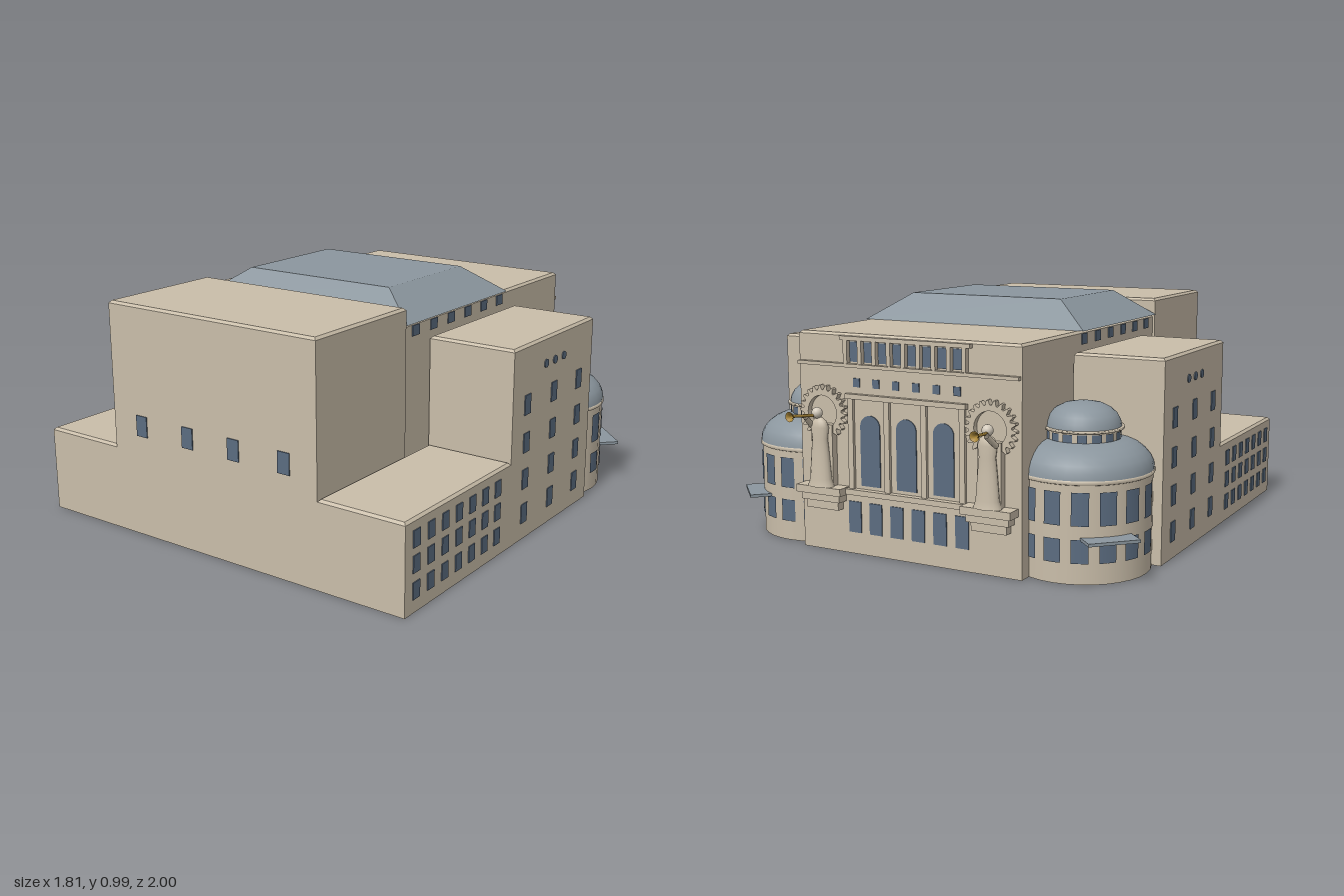
import * as THREE from 'three';

const mat = (name, color, side = THREE.FrontSide) => {
  const m = new THREE.MeshStandardMaterial({ color, side });
  m.name = name;
  return m;
};

export function createModel() {
  const root = new THREE.Group();
  root.name = 'concertHall';
  const wall = mat('limestone', 0xc9bda9, THREE.DoubleSide);
  const slate = mat('slateRoof', 0x8b969e, THREE.DoubleSide);
  const glass = mat('windowGlass', 0x5b6c80);
  const pale = mat('paleStone', 0xd3cabb);
  const gold = mat('brass', 0xa98638, THREE.DoubleSide);

  const add = (name, geo, m, x = 0, y = 0, z = 0, parent = root) => {
    const mesh = new THREE.Mesh(geo, m);
    mesh.name = name;
    mesh.position.set(x, y, z);
    parent.add(mesh);
    return mesh;
  };
  const box = (name, w, h, d, m, x, y, z, parent) =>
    add(name, new THREE.BoxGeometry(w, h, d), m, x, y, z, parent);

  // Open-bottomed shell through rectangles [x0, x1, z0, z1, y], closed on top
  const shell = (sections) => {
    const pos = [];
    const ring = ([x0, x1, z0, z1, y]) => [[x0, y, z0], [x0, y, z1], [x1, y, z1], [x1, y, z0]];
    const quad = (a, b, c, d) => pos.push(...a, ...b, ...c, ...a, ...c, ...d);
    const rings = sections.map(ring);
    for (let i = 0; i + 1 < rings.length; i++) {
      for (let j = 0; j < 4; j++) {
        const k = (j + 1) % 4;
        quad(rings[i][j], rings[i][k], rings[i + 1][k], rings[i + 1][j]);
      }
    }
    quad(...rings[rings.length - 1]);
    const g = new THREE.BufferGeometry();
    g.setAttribute('position', new THREE.Float32BufferAttribute(pos, 3));
    g.computeVertexNormals();
    return g;
  };
  // Building block with a small chamfer round the roof edge
  const block = (name, x0, x1, z0, z1, h) => {
    const c = 0.01;
    add(name, shell([[x0, x1, z0, z1, 0], [x0, x1, z0, z1, h - c],
      [x0 + c, x1 - c, z0 + c, z1 - c, h]]), wall);
  };

  // Main masses
  block('stageTower', -0.505, 0.505, 0.44, 1, 0.945);
  block('mainHall', -0.495, 0.495, -0.81, 0.44, 0.875);
  add('hipRoof', shell([[-0.51, 0.51, -0.325, 0.44, 0.875],
    [-0.35, 0.35, -0.2, 0.33, 0.985]]), slate);
  for (const x of [-0.355, -0.115, 0.115, 0.355])
    box('towerWindow', 0.055, 0.085, 0.008, glass, x, 0.46, 1);

  for (const s of [-1, 1]) {
    const span = s > 0 ? [0.505, 0.88] : [-0.88, -0.505];
    block('sideWing', ...span, -0.4, 0.27, 0.8);
    block('lowWing', ...span, 0.27, 1, 0.355);

    // Side windows
    for (const y of [0.085, 0.185, 0.28])
      for (let i = 0; i < 7; i++)
        box('lowWingWindow', 0.008, 0.065, 0.043, glass, s * 0.88, y, 0.93 - i * 0.0935);
    for (const z of [0.155, -0.065, -0.285])
      for (const y of [0.11, 0.255, 0.405, 0.56])
        box('wingWindow', 0.008, 0.08, 0.046, glass, s * 0.88, y, z);
    for (const z of [0.01, -0.065, -0.14])
      add('roundWindow', new THREE.CylinderGeometry(0.017, 0.017, 0.008, 16), glass,
        s * 0.88, 0.692, z).rotation.z = Math.PI / 2;
    for (let i = 0; i < 6; i++)
      box('atticWindow', 0.008, 0.042, 0.048, glass, s * 0.495, 0.842, 0.36 - i * 0.129);

    rotunda(s);
    statue(s);
  }
  facade();
  return root;

  // Round corner pavilion with two stacked domes
  function rotunda(s) {
    const g = new THREE.Group();
    g.name = 'rotunda';
    g.position.set(s * 0.6, 0, -0.51);
    root.add(g);
    const lathe = (name, pts, m) =>
      add(name, new THREE.LatheGeometry(pts.map(p => new THREE.Vector2(...p)), 32), m, 0, 0, 0, g);
    const tube = (name, r, y0, y1) =>
      add(name, new THREE.CylinderGeometry(r, r, y1 - y0, 32, 1, true), wall, 0, (y0 + y1) / 2, 0, g);
    tube('rotundaWall', 0.265, 0, 0.375);
    lathe('rotundaCornice', [[0.265, 0.37], [0.272, 0.373], [0.272, 0.387], [0.26, 0.387]], wall);
    lathe('lowerDome', [[0.27, 0.387], [0.267, 0.412], [0.255, 0.437], [0.235, 0.46],
      [0.207, 0.48], [0.175, 0.493], [0.135, 0.5]], slate);
    tube('drum', 0.14, 0.495, 0.54);
    lathe('drumCornice', [[0.14, 0.534], [0.155, 0.536], [0.155, 0.544], [0.135, 0.546]], wall);
    lathe('upperDome', [[0.145, 0.544], [0.141, 0.566], [0.128, 0.59], [0.105, 0.611],
      [0.073, 0.627], [0.037, 0.634], [0, 0.636]], slate);

    // Curved panes; the angle runs from the outer side towards the back
    const pane = (name, r, y0, y1, deg, width) => {
      const a = THREE.MathUtils.degToRad(s > 0 ? 90 + deg : 270 - deg);
      const w = width / r;
      add(name, new THREE.CylinderGeometry(r, r, y1 - y0, 4, 1, true, a - w / 2, w), glass,
        0, (y0 + y1) / 2, 0, g);
    };
    for (let i = 0; i < 6; i++) {
      pane('upperRotundaWindow', 0.269, 0.22, 0.345, i * 22.5, 0.066);
      pane('lowerRotundaWindow', 0.269, 0.08, 0.17, i * 22.5, 0.066);
    }
    for (let i = 0; i < 16; i++) pane('drumWindow', 0.144, 0.5, 0.53, i * 22.5, 0.038);

    // Entrance canopy on the diagonal
    box('canopy', 0.2, 0.012, 0.1, slate, s * 0.2, 0.172, -0.2, g).rotation.y = -s * Math.PI / 4;
  }

  // Rear facade: colonnade, arched windows, ledges
  function facade() {
    const z = -0.81;
    box('facadeCornice', 0.98, 0.014, 0.022, wall, 0, 0.752, z - 0.01);
    box('colonnadeTop', 0.58, 0.016, 0.02, wall, 0, 0.858, z - 0.01);
    for (let i = 0; i < 9; i++) {
      const x = -0.264 + i * 0.066;
      box('colonnadePier', 0.018, 0.09, 0.02, wall, x, 0.805, z - 0.01);
      if (i < 8) box('colonnadeWindow', 0.042, 0.078, 0.008, glass, x + 0.033, 0.805, z);
    }
    for (let i = 0; i < 6; i++) {
      const x = -0.225 + i * 0.09;
      box('squareWindow', 0.03, 0.034, 0.008, glass, x, 0.685, z);
      box('groundWindow', 0.058, 0.125, 0.008, glass, x * 1.08, 0.15, z);
    }
    const arch = new THREE.Shape();
    arch.moveTo(-0.045, 0);
    arch.lineTo(0.045, 0);
    arch.lineTo(0.045, 0.235);
    arch.absarc(0, 0.235, 0.045, 0, Math.PI, false);
    const archGeo = new THREE.ExtrudeGeometry(arch, { depth: 0.008, bevelEnabled: false, curveSegments: 12 });
    for (const x of [-0.165, 0, 0.165]) add('archedWindow', archGeo, glass, x, 0.28, z - 0.004);
    for (const x of [-0.25, -0.083, 0.083, 0.25])
      box('pilaster', 0.024, 0.36, 0.014, wall, x, 0.445, z - 0.006);
    box('archLintel', 0.54, 0.02, 0.02, wall, 0, 0.632, z - 0.01);
    box('archSill', 0.56, 0.022, 0.028, wall, 0, 0.255, z - 0.013);
  }

  // Robed trumpeter on a bracket before a toothed sunburst
  function statue(s) {
    const g = new THREE.Group();
    g.name = 'trumpeter';
    g.position.set(s * 0.375, 0, -0.81);
    root.add(g);
    box('bracketFoot', 0.15, 0.04, 0.036, wall, 0, 0.195, -0.018, g);
    box('bracket', 0.18, 0.03, 0.05, wall, 0, 0.225, -0.025, g);
    box('plinth', 0.21, 0.03, 0.065, wall, 0, 0.255, -0.0325, g);
    box('backSlab', 0.1, 0.25, 0.03, wall, 0, 0.39, -0.015, g);
    const robe = add('robe', new THREE.LatheGeometry([[0.058, 0.27], [0.048, 0.3], [0.04, 0.4],
      [0.034, 0.46], [0.04, 0.505], [0.03, 0.53], [0.01, 0.545]]
      .map(p => new THREE.Vector2(...p)), 16), wall, 0, 0, -0.042, g);
    robe.scale.z = 0.62;
    add('head', new THREE.SphereGeometry(0.022, 16, 12), pale, s * 0.005, 0.562, -0.05, g);

    const burst = new THREE.Shape();
    const teeth = 22;
    for (let i = 0; i < teeth * 4; i++) {
      const a = (i / (teeth * 4)) * Math.PI * 2;
      const r = i % 4 < 2 ? 0.108 : 0.09;
      burst[i ? 'lineTo' : 'moveTo'](Math.cos(a) * r, Math.sin(a) * r);
    }
    burst.holes.push(new THREE.Path().absarc(0, 0, 0.068, 0, Math.PI * 2, true));
    add('sunburst', new THREE.ExtrudeGeometry(burst, { depth: 0.024, bevelEnabled: false }),
      wall, 0, 0.56, -0.024, g);

    // Trumpet and the arm that holds it
    const rod = (name, a, b, r) => add(name, new THREE.TubeGeometry(
      new THREE.LineCurve3(new THREE.Vector3(...a), new THREE.Vector3(...b)), 1, r, 8),
      name === 'arm' ? wall : gold, 0, 0, 0, g);
    rod('arm', [s * 0.036, 0.505, -0.042], [s * 0.026, 0.55, -0.095], 0.011);
    rod('trumpetTube', [s * 0.01, 0.553, -0.06], [s * 0.03, 0.565, -0.17], 0.006);
    const bell = add('trumpetBell', new THREE.LatheGeometry([[0.006, 0], [0.008, 0.012],
      [0.013, 0.02], [0.02, 0.024]].map(p => new THREE.Vector2(...p)), 16), gold,
      s * 0.03, 0.565, -0.166, g);
    bell.rotation.x = -Math.PI / 2;
  }
}
